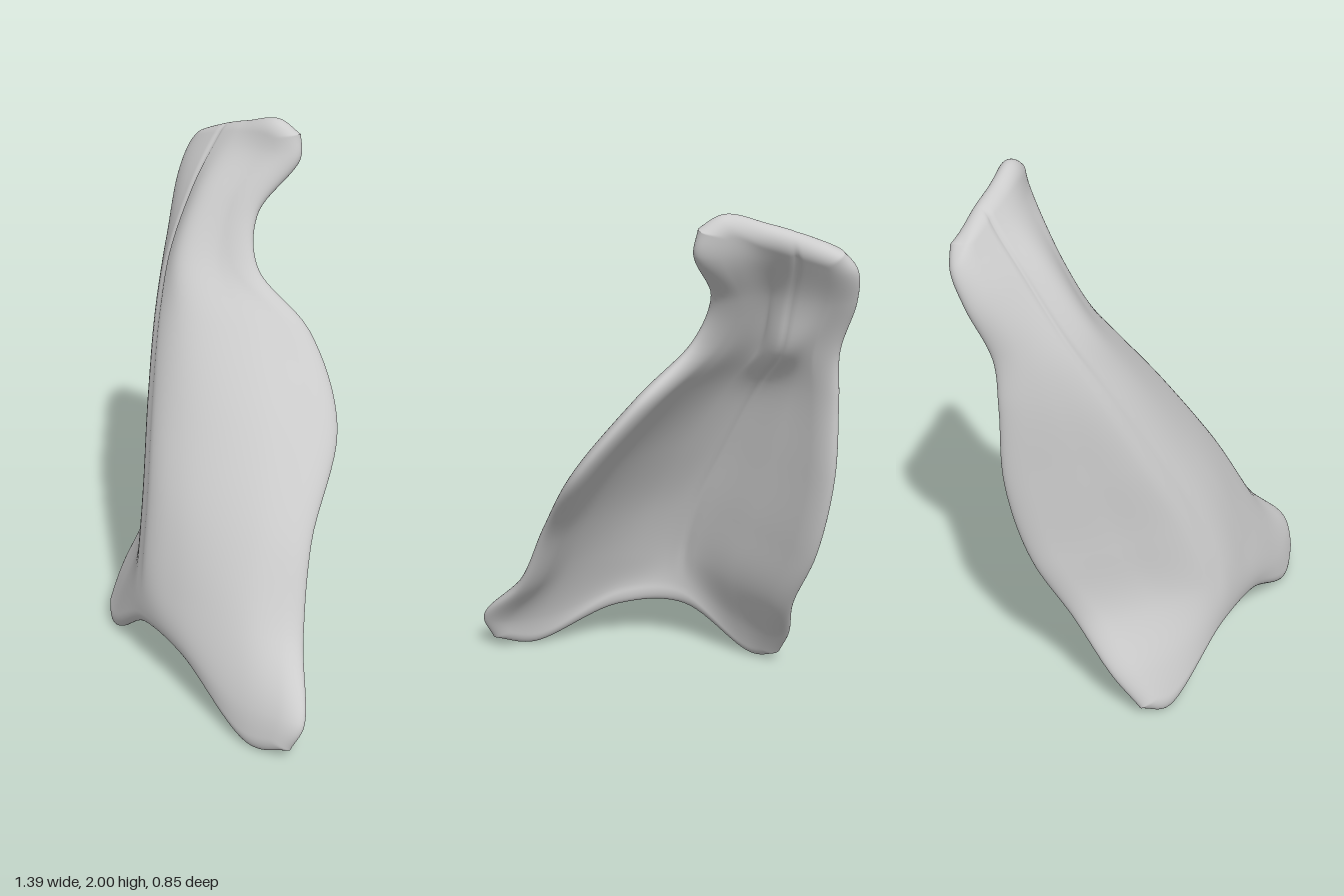
import * as THREE from 'three';
import { mergeVertices } from 'three/addons/utils/BufferGeometryUtils.js';

const NU = 90, NV = 110;
const points = list => list.map(p => new THREE.Vector3(...p));

// Rails running from the foot to the head (x, y, z)
const rightEdge = points([[-.515, .05, .25], [-.54, .18, .145], [-.54, .4, -.015], [-.61, .67, -.14], [-.655, 1, -.205],
  [-.655, 1.3, -.21], [-.65, 1.48, -.225], [-.695, 1.68, -.29], [-.69, 1.8, -.335], [-.64, 1.87, -.35]]);
const ridge = points([[-.12, .2, .36], [-.12, .3, .365], [-.13, .45, .345], [-.18, .7, .275], [-.29, 1, .16],
  [-.4, 1.3, .03], [-.46, 1.5, -.075], [-.485, 1.7, -.205], [-.49, 1.85, -.315], [-.48, 1.93, -.37]]);
const leftFlank = points([[.5, .005, .375], [.45, .16, .355], [.35, .43, .265], [.26, .7, .15], [.12, 1, .01],
  [-.09, 1.3, -.09], [-.26, 1.5, -.125], [-.3, 1.7, -.225], [-.27, 1.87, -.345], [-.25, 1.999, -.385]]);
const leftEdge = points([[.655, .05, .33], [.685, .16, .29], [.52, .37, .15], [.405, .67, .015], [.265, 1, -.23],
  [.05, 1.29, -.282], [-.15, 1.5, -.2], [-.21, 1.68, -.25], [-.15, 1.87, -.4], [-.165, 1.955, -.412]]);

// Rail between two others, pushed sideways and up or down near the foot, and bulged forward
function between(a, b, t, dx, dy, bulge) {
  return a.map((p, k) => {
    const foot = Math.max(0, 1 - k / 2), v = k / (a.length - 1);
    return p.clone().lerp(b[k], t).add(new THREE.Vector3(dx * foot, dy * foot, bulge * Math.sin(Math.PI * v)));
  });
}

const rails = [
  rightEdge,
  between(rightEdge, ridge, 0.5, -0.1, -0.12, 0.02),
  ridge,
  between(ridge, leftFlank, 0.42, 0, 0.07, 0.06),
  leftFlank,
  leftEdge,
].map(r => new THREE.CatmullRomCurve3(r));

const ease = t => 0.5 - 0.5 * Math.cos(Math.PI * t); // packs samples near the rims
const bell = (x, w) => Math.exp(-(x * x) / (w * w));
const webDirection = new THREE.Vector3(0, -0.45, -0.89);

// Middle surface of the shell, as rows of points
function middleSurface() {
  const rows = [];
  for (let j = 0; j <= NV; j++) {
    const across = new THREE.CatmullRomCurve3(rails.map(r => r.getPoint(ease(j / NV))));
    const row = [];
    for (let i = 0; i <= NU; i++) row.push(across.getPoint(ease(i / NU)));
    rows.push(row);
  }
  return rows;
}

// Distance of every point of a line from the line's nearer end
function endDistances(line) {
  const d = [0];
  for (let k = 1; k < line.length; k++) d.push(d[k - 1] + line[k].distanceTo(line[k - 1]));
  const total = d[d.length - 1];
  return d.map(v => Math.min(v, total - v));
}

function shellGeometry() {
  const grid = middleSurface();
  const dU = grid.map(endDistances);
  const dV = grid[0].map((_, i) => endDistances(grid.map(row => row[i])));
  const front = [], back = [], index = [];
  const du = new THREE.Vector3(), dv = new THREE.Vector3(), n = new THREE.Vector3(), q = new THREE.Vector3();
  for (let j = 0; j <= NV; j++) {
    for (let i = 0; i <= NU; i++) {
      const p = grid[j][i], u = ease(i / NU);
      du.subVectors(grid[j][Math.min(i + 1, NU)], grid[j][Math.max(i - 1, 0)]);
      dv.subVectors(grid[Math.min(j + 1, NV)][i], grid[Math.max(j - 1, 0)][i]);
      n.crossVectors(du, dv).normalize();
      // rounded rim, softer along the sides, and a thicker head
      const e = Math.min(1, dU[j][i] / 0.09, dV[i][j] / 0.06);
      const head = THREE.MathUtils.smoothstep(p.y, 1.5, 1.8);
      const half = (0.036 + 0.008 * head) * Math.sqrt(1 - (1 - e) * (1 - e));
      // shallow groove along the ridge on both faces, and a broad web behind the neck
      const fade = THREE.MathUtils.smoothstep(p.y, 0.3, 0.5);
      const groove = 0.007 * fade * e * bell(u - 0.395, 0.02);
      const web = 0.085 * e * bell(p.y - 1.52, 0.15) * bell(u - 0.42, 0.25);
      q.copy(p).addScaledVector(n, half - groove);
      front.push(q.x, q.y, q.z);
      q.copy(p).addScaledVector(n, groove - half).addScaledVector(webDirection, web);
      back.push(q.x, q.y, q.z);
    }
  }
  const W = NU + 1, off = W * (NV + 1);
  for (let j = 0; j < NV; j++) {
    for (let i = 0; i < NU; i++) {
      const a = j * W + i, b = a + 1, c = a + W, d = c + 1;
      index.push(a, b, d, a, d, c);
      index.push(off + a, off + d, off + b, off + a, off + c, off + d);
    }
  }
  const geo = new THREE.BufferGeometry();
  geo.setAttribute('position', new THREE.Float32BufferAttribute(front.concat(back), 3));
  geo.setIndex(index);
  const welded = mergeVertices(geo, 1e-5); // joins front and back along the rim
  welded.computeVertexNormals();
  return welded;
}

export function createModel() {
  const group = new THREE.Group();
  group.name = 'curvedShell';
  const paleGrey = new THREE.MeshStandardMaterial({ color: 0xcccccc });
  paleGrey.name = 'pale grey';
  const shell = new THREE.Mesh(shellGeometry(), paleGrey);
  shell.name = 'ridgedShell';
  group.add(shell);
  return group;
}
